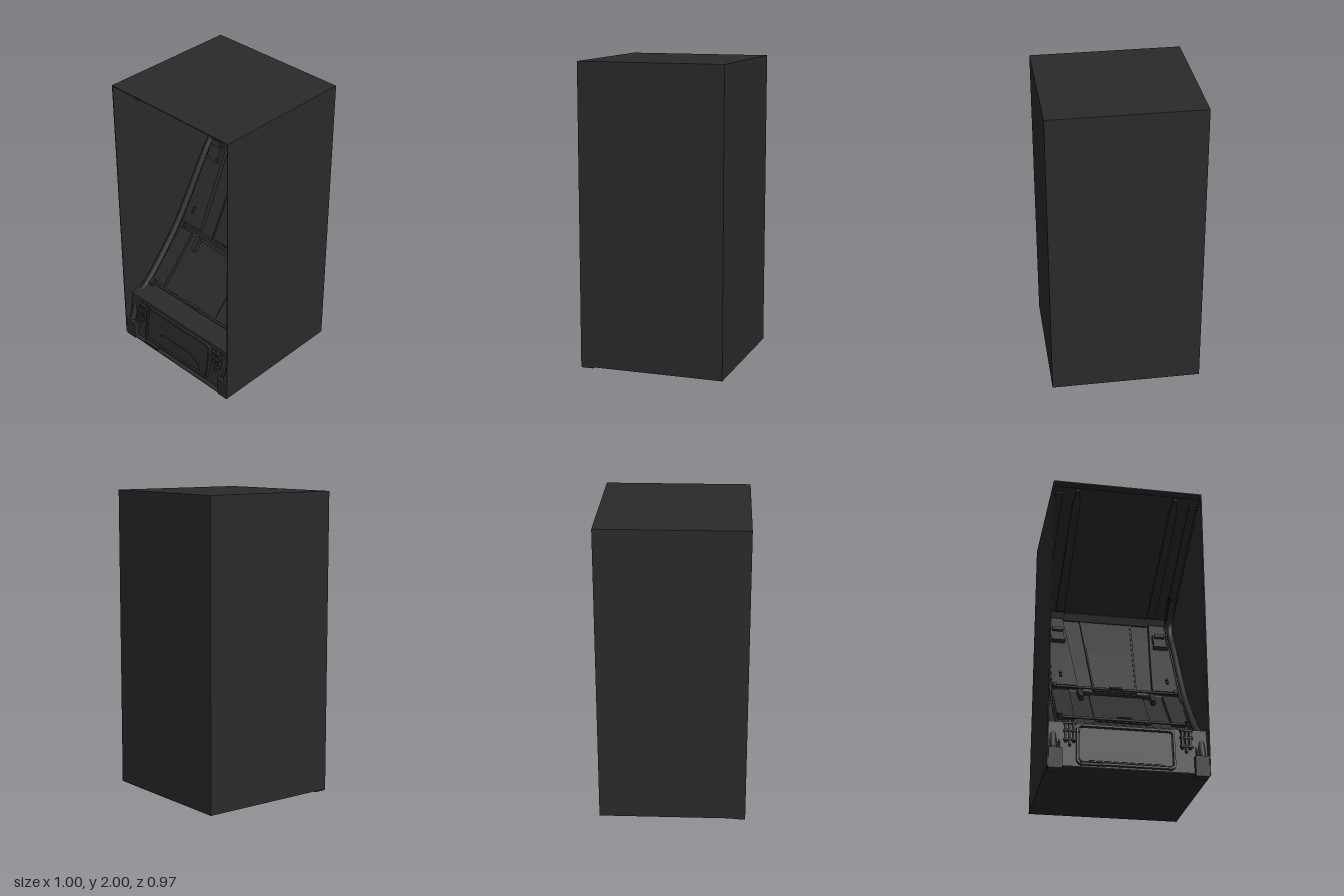
import * as THREE from 'three';

const mat = new THREE.MeshStandardMaterial({ color: 0x2a2a2a, side: THREE.DoubleSide });

// inner lining seen from the side, as [y, z]: hatch, seat slope, backrest, slanted ceiling
const profile = [[0.01, 0.45], [0.32, 0.41], [0.38, 0.27], [0.72, -0.04], [1.44, -0.46], [1.5, -0.44], [1.99, 0.46]];

function depth(y) {
  let i = 0;
  while (i < profile.length - 2 && y > profile[i + 1][0]) i++;
  const [a, b] = [profile[i], profile[i + 1]];
  return a[1] + (b[1] - a[1]) * (y - a[0]) / (b[0] - a[0]);
}
const slope = y => (depth(y + 0.01) - depth(y - 0.01)) / 0.02;

// point on the lining, raised along its normal
function at(x, y, lift = 0) {
  const n = new THREE.Vector3(0, -slope(y), 1).normalize();
  return new THREE.Vector3(x, y, depth(y)).addScaledVector(n, lift);
}

export function createModel() {
  const root = new THREE.Group();
  root.name = 'reclinedPod';

  function add(name, geo, parent = root) {
    const m = new THREE.Mesh(geo, mat);
    m.name = name;
    parent.add(m);
    return m;
  }
  function box(name, w, h, d, x, y, z) {
    const m = add(name, new THREE.BoxGeometry(w, h, d));
    m.position.set(x, y, z);
    return m;
  }
  // box lying on the lining
  function pad(name, w, h, d, x, y, lift) {
    const m = box(name, w, h, d, 0, 0, 0);
    m.position.copy(at(x, y, lift));
    m.rotation.x = Math.atan(slope(y));
    return m;
  }
  // slab following the lining; rows are [y, left x, right x]
  function panel(name, rows, low, high) {
    const pos = [];
    const quad = (a, b, c, d) => [a, b, c, a, c, d].forEach(p => pos.push(p.x, p.y, p.z));
    const rings = rows.map(([y, l, r]) => [at(l, y, low), at(r, y, low), at(r, y, high), at(l, y, high)]);
    for (let i = 0; i < rings.length - 1; i++) {
      const p = rings[i], q = rings[i + 1];
      for (let k = 0; k < 4; k++) quad(p[(k + 1) % 4], p[k], q[k], q[(k + 1) % 4]);
    }
    const top = rings[rings.length - 1];
    quad(...rings[0]);
    quad(top[3], top[2], top[1], top[0]);
    const g = new THREE.BufferGeometry();
    g.setAttribute('position', new THREE.Float32BufferAttribute(pos, 3));
    g.computeVertexNormals();
    return add(name, g);
  }
  const mirrored = (name, rows, s, low, high) =>
    panel(name, rows.map(([y, a, b]) => s > 0 ? [y, a, b] : [y, -b, -a]), low, high);
  function rod(name, a, b, r) {
    const m = add(name, new THREE.CylinderGeometry(r, r, a.distanceTo(b), 10));
    m.position.copy(a).lerp(b, 0.5);
    m.quaternion.setFromUnitVectors(new THREE.Vector3(0, 1, 0), b.clone().sub(a).normalize());
    return m;
  }

  // outer casing, open at the front
  box('backWall', 1, 1.99, 0.006, 0, 1.005, -0.482);
  box('roof', 1, 0.006, 0.965, 0, 1.997, -0.0025);
  box('floor', 1, 0.006, 0.965, 0, 0.013, -0.0025);
  box('roofLip', 0.88, 0.004, 0.006, 0, 1.998, 0.42);

  // lining of seat slope, backrest and ceiling
  panel('lining', profile.map(([y], i) => [i === 0 ? 0.015 : i === profile.length - 1 ? 1.98 : y, -0.495, 0.495]), -0.004, 0);

  // centre of the backrest with two seam strips
  panel('backrest', [[0.73, -0.14, 0.14], [1.1, -0.16, 0.16], [1.43, -0.18, 0.18]], 0, 0.01);
  panel('headPad', [[1.44, -0.31, 0.31], [1.5, -0.29, 0.29]], 0, 0.01);
  panel('seatPanel', [[0.395, -0.18, 0.18], [0.68, -0.18, 0.18]], 0, 0.008);
  panel('seatBar', [[0.685, -0.23, 0.23], [0.7, -0.23, 0.23]], 0, 0.02);

  for (const s of [1, -1]) {
    box('sideWall', 0.006, 1.99, 0.965, s * 0.497, 1.005, -0.0025);
    mirrored('seam', [[0.73, 0.137, 0.147], [1.43, 0.173, 0.186]], s, 0, 0.016);
    mirrored('sideBolster', [[0.74, 0.25, 0.42], [1.1, 0.28, 0.42], [1.42, 0.31, 0.42]], s, 0, 0.035);
    mirrored('bolsterTip', [[0.62, 0.225, 0.25], [0.7, 0.22, 0.26]], s, 0, 0.035);
    mirrored('thighPanel', [[0.395, 0.31, 0.42], [0.7, 0.31, 0.42]], s, 0, 0.025);
    mirrored('ceilingRib', [[1.51, 0.3, 0.36], [1.93, 0.305, 0.355], [1.975, 0.32, 0.34]], s, 0, 0.025);
    mirrored('ceilingEdge', [[1.51, 0.43, 0.48], [1.96, 0.43, 0.48]], s, 0, 0.015);

    // curved side rail and its thin companion
    const path = [[0.13, 0.45], [0.3, 0.37], [0.42, 0.25], [0.72, 0], [1.2, -0.29], [1.32, -0.37], [1.42, -0.4],
      [1.5, -0.36], [1.57, -0.24]];
    const curve = x => new THREE.CatmullRomCurve3(path.map(([y, z]) => new THREE.Vector3(s * x, y, z)));
    add('sideRail', new THREE.TubeGeometry(curve(0.46), 60, 0.022, 8));
    add('innerRail', new THREE.TubeGeometry(curve(0.425), 60, 0.007, 6));

    // shoulder bracket
    pad('shoulderBracket', 0.09, 0.14, 0.03, s * 0.36, 1.22, 0.045);
    pad('bracketTop', 0.07, 0.035, 0.025, s * 0.36, 1.26, 0.065);
    pad('bracketBase', 0.1, 0.02, 0.03, s * 0.36, 1.165, 0.05);
    for (const y of [0.82, 0.845]) pad('stud', 0.016, 0.018, 0.02, s * 0.36, y, 0.04);
    for (const y of [0.72, 0.375]) pad('rodMount', 0.025, 0.045, 0.04, s * 0.405, y, 0.03);

    // hatch latch
    for (const x of [0.335, 0.36, 0.385]) pad('latchPlate', 0.012, 0.17 - Math.abs(x - 0.36) * 2, 0.04, s * x, 0.24, 0.01);
    for (const y of [0.19, 0.25, 0.3]) rod('latchPin', at(s * 0.32, y, 0.025), at(s * 0.4, y, 0.025), 0.01);

    // corner foot
    box('cornerFoot', 0.085, 0.13, 0.08, s * 0.45, 0.065, 0.44);
  }

  // cross rods
  rod('upperRod', at(-0.42, 0.72, 0.035), at(0.42, 0.72, 0.035), 0.009);
  rod('lowerRod', at(-0.42, 0.375, 0.03), at(0.42, 0.375, 0.03), 0.009);
  for (const y of [0.72, 0.38]) pad('rodGrip', 0.09, 0.018, 0.02, 0, y, 0.04);

  // rounded hatch: frame, plate and kick wedge
  const rounded = (P, w, h, r) => {
    const p = new P();
    p.absarc(w - r, h - r, r, 0, Math.PI / 2);
    p.absarc(r - w, h - r, r, Math.PI / 2, Math.PI);
    p.absarc(r - w, r - h, r, Math.PI, Math.PI * 1.5);
    p.absarc(w - r, r - h, r, Math.PI * 1.5, Math.PI * 2);
    p.closePath();
    return p;
  };
  const hatch = new THREE.Group();
  hatch.name = 'hatch';
  hatch.position.copy(at(-0.015, 0.17, 0));
  hatch.rotation.x = Math.atan(slope(0.17));
  root.add(hatch);
  const frame = rounded(THREE.Shape, 0.305, 0.135, 0.03);
  frame.holes.push(rounded(THREE.Path, 0.292, 0.122, 0.022));
  add('hatchFrame', new THREE.ExtrudeGeometry(frame, { depth: 0.02, bevelEnabled: false, curveSegments: 5 }), hatch);
  add('hatchPlate', new THREE.ExtrudeGeometry(rounded(THREE.Shape, 0.285, 0.115, 0.02),
    { depth: 0.012, bevelEnabled: false, curveSegments: 5 }), hatch);
  const wedge = new THREE.Shape([[-0.23, -0.11], [0.23, -0.11], [0.21, -0.06], [0.13, -0.02], [-0.13, -0.02], [-0.21, -0.06]]
    .map(([x, y]) => new THREE.Vector2(x, y)));
  add('kickWedge', new THREE.ExtrudeGeometry(wedge, { depth: 0.017, bevelEnabled: false }), hatch);
  box('sillHandle', 0.13, 0.015, 0.02, -0.235, 0.035, 0.475);

  return root;
}
